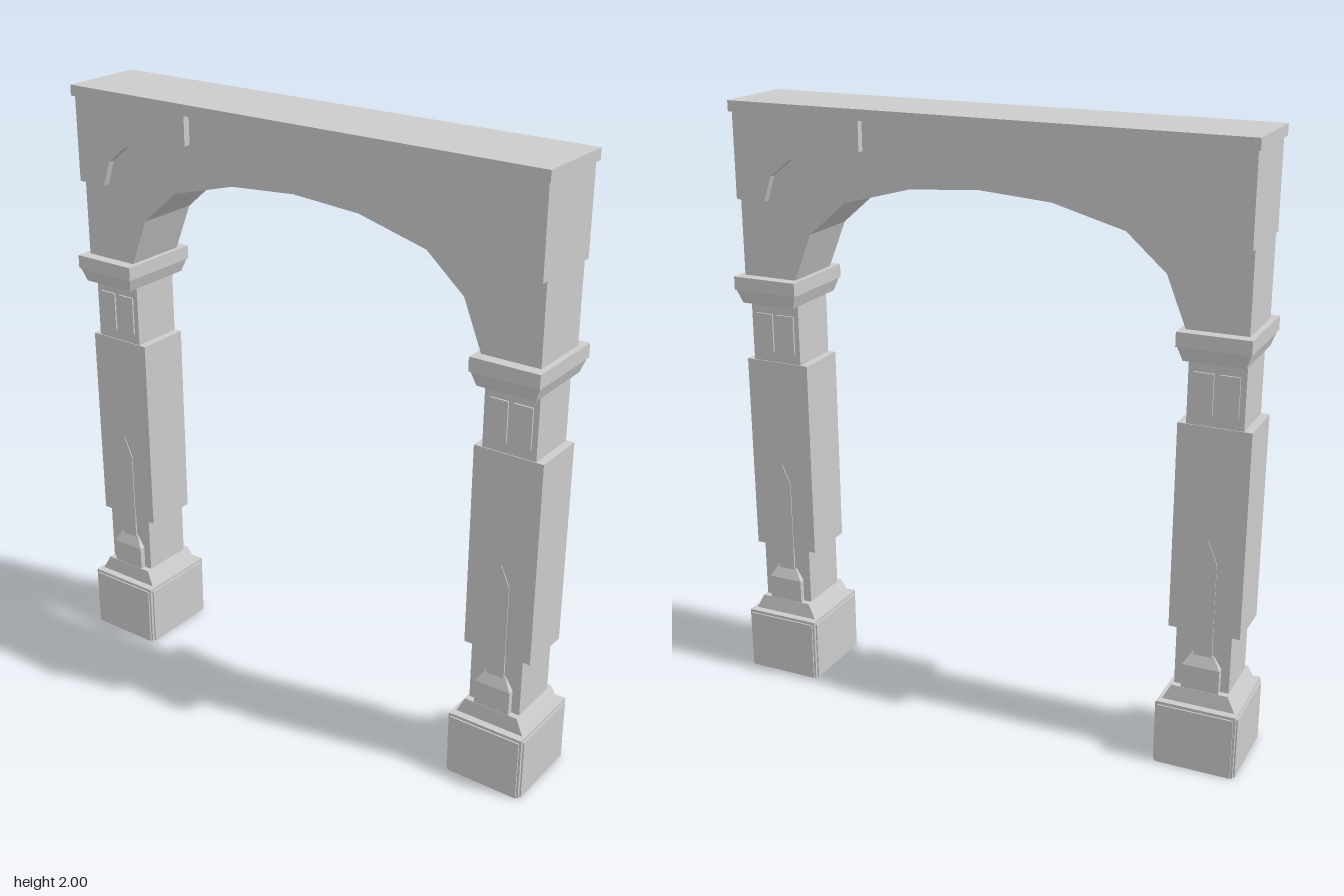
import * as THREE from 'three';

const material = new THREE.MeshStandardMaterial({ color: 0xcccccc, flatShading: true });

function add(parent, name, geometry) {
  const mesh = new THREE.Mesh(geometry, material);
  mesh.name = name;
  parent.add(mesh);
  return mesh;
}

// Block between heights y0 and y1, given half sizes; the top may be narrower or wider
function block(y0, y1, hx, hz, topX = hx, topZ = hz) {
  const g = new THREE.BoxGeometry(2, y1 - y0, 2);
  g.translate(0, (y0 + y1) / 2, 0);
  const p = g.attributes.position;
  const mid = (y0 + y1) / 2;
  for (let i = 0; i < p.count; i++) {
    const top = p.getY(i) > mid;
    p.setX(i, p.getX(i) * (top ? topX : hx));
    p.setZ(i, p.getZ(i) * (top ? topZ : hz));
  }
  g.computeVertexNormals();
  return g;
}

// Outline extruded evenly to both sides of z = 0
function slab(points, halfDepth) {
  const shape = new THREE.Shape(points.map(([x, y]) => new THREE.Vector2(x, y)));
  const g = new THREE.ExtrudeGeometry(shape, { depth: halfDepth * 2, bevelEnabled: false });
  return g.translate(0, 0, -halfDepth);
}

const mirrored = (points) => points.map(([x, y]) => [-x, y]).reverse();

function createColumn() {
  const column = new THREE.Group();

  // Footing with slightly raised faces
  add(column, 'footing', block(0, 0.215, 0.13, 0.143));
  add(column, 'footingSidePanels', block(0, 0.205, 0.135, 0.133));
  add(column, 'footingFacePanels', block(0, 0.205, 0.123, 0.148));
  add(column, 'plinth', block(0.215, 0.265, 0.118, 0.118, 0.092, 0.111));

  // Shaft with wider middle
  add(column, 'shaft', block(0.265, 1.34, 0.089, 0.09));
  add(column, 'shaftMiddle', block(0.46, 1.135, 0.115, 0.093));

  // Raised foot ornament, front and back, with a sloping top
  add(column, 'footOrnament', block(0.265, 0.345, 0.061, 0.11));
  add(column, 'footOrnamentTop', block(0.345, 0.385, 0.061, 0.11, 0.036, 0.094));
  add(column, 'spine', slab([[-0.03, 0.38], [0.03, 0.38], [0.03, 0.7], [0, 0.77], [-0.03, 0.7]], 0.096));

  // Paired panels under the capital
  for (const s of [-1, 1]) {
    add(column, 'neckPanel', block(1.17, 1.3, 0.031, 0.096)).position.x = s * 0.04;
  }

  // Capital
  add(column, 'capitalFlare', block(1.34, 1.385, 0.095, 0.13, 0.111, 0.142));
  add(column, 'capitalSlab', block(1.385, 1.43, 0.114, 0.147));
  return column;
}

export function createModel() {
  const model = new THREE.Group();
  model.name = 'archway';

  for (const [name, s] of [['leftColumn', 1], ['rightColumn', -1]]) {
    const column = createColumn();
    column.name = name;
    column.position.x = s * 0.757;
    model.add(column);
  }

  // Arch with a faceted opening
  const curve = [[0.66, 1.43], [0.597, 1.587], [0.468, 1.7], [0.235, 1.763]];
  add(model, 'arch', slab([
    [0.852, 1.43], [0.852, 1.965], [-0.852, 1.965], [-0.852, 1.43],
    ...mirrored(curve).reverse(), [0, 1.78], ...[...curve].reverse(),
  ], 0.109));

  // Raised corner brackets
  const bracket = [
    [0.852, 1.685], [0.852, 1.965], [0.397, 1.965], [0.397, 1.868],
    [0.526, 1.857], [0.648, 1.826], [0.72, 1.768], [0.748, 1.685],
  ];
  add(model, 'leftBracket', slab(bracket, 0.133));
  add(model, 'rightBracket', slab(mirrored(bracket), 0.133));

  add(model, 'topSlab', block(1.965, 2, 0.86, 0.143));
  return model;
}
